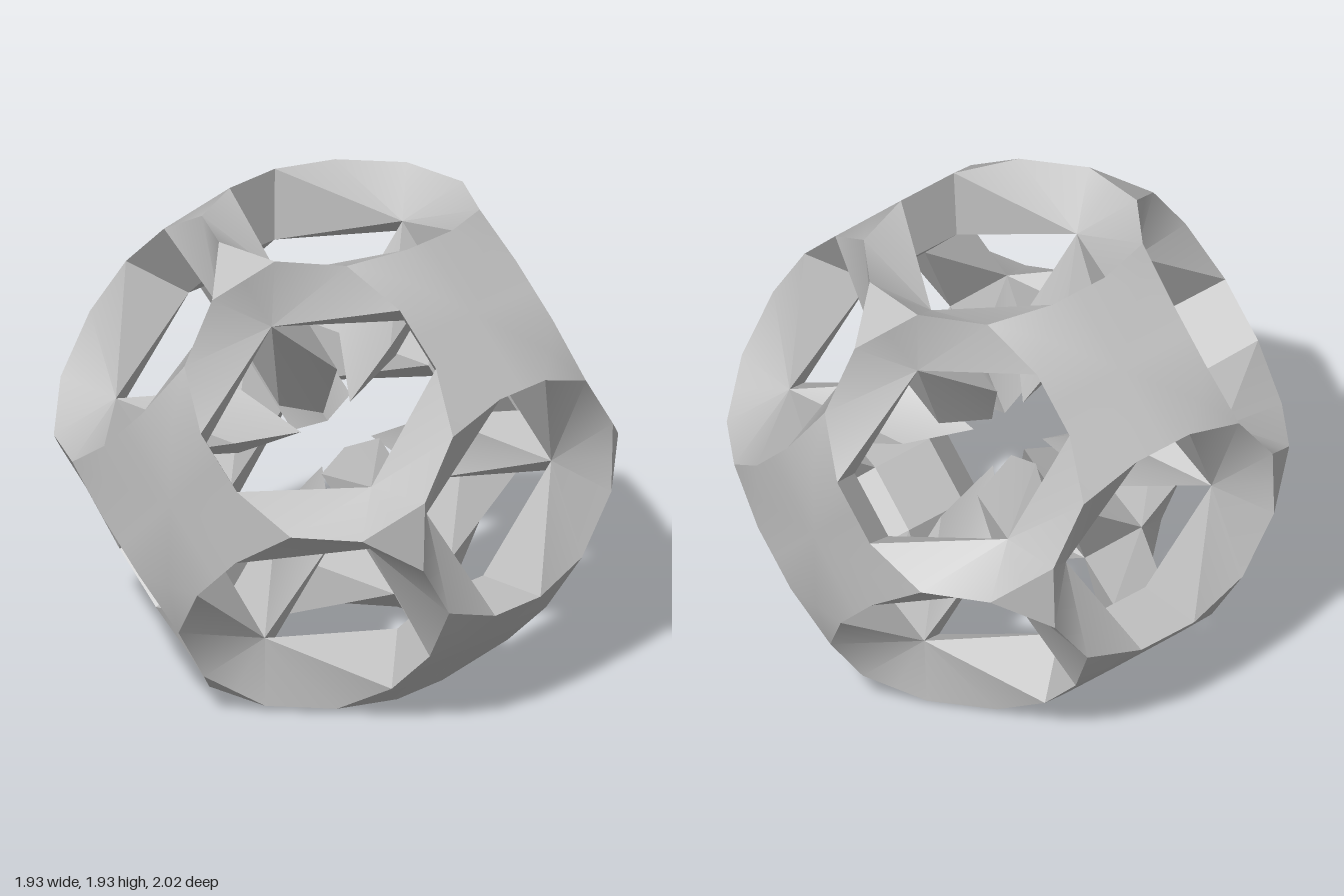
import * as THREE from 'three';
import { toCreasedNormals } from 'three/addons/utils/BufferGeometryUtils.js';

// Key points of one symmetry wedge (a 48th of the frame), in cube axes.
const P = {
  panelCentre: [1, 0, 0], panelEdge: [1, 0.35, 0], panelCorner: [1, 0.35, 0.136], panelSide: [1, 0.243, 0.243],
  starTip: [0.93, 0.4, 0.4], jointTip: [0.77, 0.565, 0.565], jointEdge: [0.6675, 0.6675, 0.565],
  jointCentre: [0.6333, 0.6333, 0.6333], holeCorner: [0.56, 0.56, 0.375],
  innerCorner: [0.785, 0.14, 0.14], innerEdge: [0.785, 0.14, 0], innerCentre: [0.785, 0, 0],
  innerMid: [0.56, 0.4675, 0.4675], spikeCorner: [0.35, 0.16, 0.16], spikeTip: [0.08, 0.08, 0.08],
};

// Faces of the wedge, listed counter-clockwise; each is fanned from its first point.
const PARTS = {
  starPanels: [
    ['panelCentre', 'panelEdge', 'panelCorner', 'panelSide'],
    ['panelSide', 'panelCorner', 'starTip'],
  ],
  panelBacks: [
    ['innerCorner', 'panelCorner', 'panelEdge', 'innerEdge'],
    ['innerCorner', 'innerEdge', 'innerCentre'],
  ],
  struts: [
    ['holeCorner', 'jointTip', 'starTip', 'panelCorner', 'innerCorner'],
    ['holeCorner', 'jointEdge', 'jointTip'],
    ['holeCorner', 'innerCorner', 'innerMid'],
  ],
  cornerJoints: [
    ['jointTip', 'jointEdge', 'jointCentre'],
  ],
  innerSpikes: [
    ['holeCorner', 'innerMid', 'spikeCorner'],
    ['holeCorner', 'spikeCorner', 'spikeTip'],
  ],
};

// Axis orders with their parity.
const ORDERS = [
  [[0, 1, 2], 1], [[1, 2, 0], 1], [[2, 0, 1], 1],
  [[0, 2, 1], -1], [[2, 1, 0], -1], [[1, 0, 2], -1],
];

// Repeat a set of faces over all 48 rotations and reflections of the cube.
function repeatFaces(faces) {
  const pos = [];
  for (const [order, parity] of ORDERS) {
    for (let s = 0; s < 8; s++) {
      const sign = [s & 1 ? -1 : 1, s & 2 ? -1 : 1, s & 4 ? -1 : 1];
      const flip = parity * sign[0] * sign[1] * sign[2] < 0;
      const place = (name) => order.map((axis, k) => P[name][axis] * sign[k]);
      for (const face of faces) {
        const pts = face.map(place);
        for (let i = 1; i < pts.length - 1; i++) {
          const [b, c] = flip ? [pts[i + 1], pts[i]] : [pts[i], pts[i + 1]];
          pos.push(...pts[0], ...b, ...c);
        }
      }
    }
  }
  const geo = new THREE.BufferGeometry();
  geo.setAttribute('position', new THREE.Float32BufferAttribute(pos, 3));
  geo.rotateZ(Math.PI / 4); // stand the cube on an edge
  geo.computeVertexNormals();
  return toCreasedNormals(geo, 0.45);
}

export function createModel() {
  const grey = new THREE.MeshStandardMaterial({ color: 0xbfbfbf });
  grey.name = 'grey';

  const frame = new THREE.Group();
  frame.name = 'frame';
  for (const [name, faces] of Object.entries(PARTS)) {
    const mesh = new THREE.Mesh(repeatFaces(faces), grey);
    mesh.name = name;
    frame.add(mesh);
  }
  // The frame leans very slightly.
  frame.rotation.set(-0.012, 0.022, -0.016);
  frame.position.y = 0.955;

  const model = new THREE.Group();
  model.name = 'openFrameSculpture';
  model.add(frame);
  return model;
}
